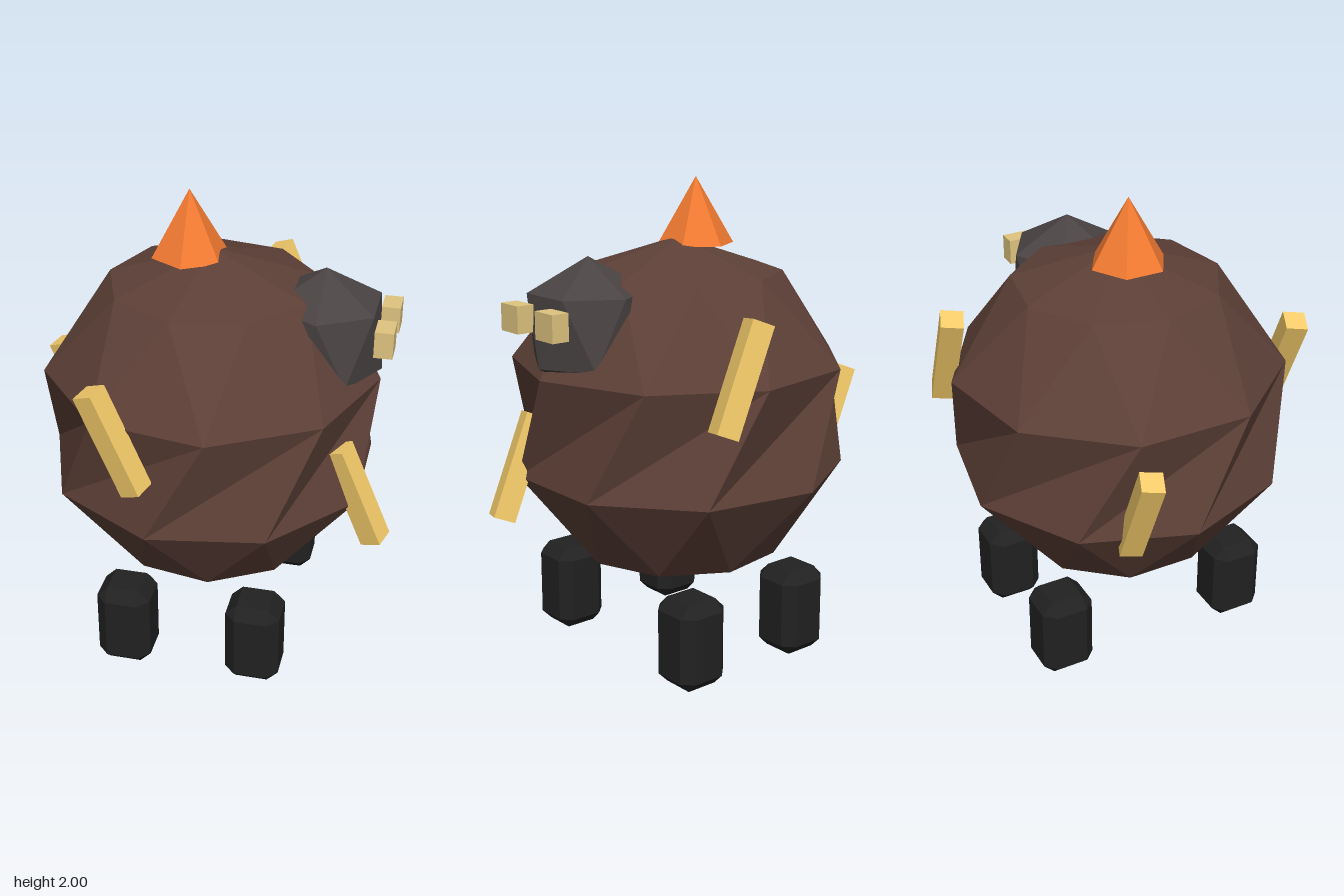
import * as THREE from 'three';
import { ConvexGeometry } from 'three/addons/geometries/ConvexGeometry.js';

const mat = (color) => new THREE.MeshStandardMaterial({ color, flatShading: true });

// Faceted ball: latitude rings, every odd ring turned by half a step
function facetedBall(radius, sides, rows) {
  const point = (row, j) => {
    const polar = (Math.PI * row) / rows;
    const turn = ((j + (row % 2) / 2) * Math.PI * 2) / sides;
    const r = radius * Math.sin(polar);
    return [r * Math.cos(turn), radius * Math.cos(polar), r * Math.sin(turn)];
  };
  const positions = [];
  for (let row = 0; row < rows; row++) {
    for (let j = 0; j < sides; j++) {
      if (row > 0) positions.push(...point(row + 1, j), ...point(row, j - 1), ...point(row, j));
      if (row < rows - 1) positions.push(...point(row + 1, j + 1), ...point(row + 1, j), ...point(row, j));
    }
  }
  const geometry = new THREE.BufferGeometry();
  geometry.setAttribute('position', new THREE.Float32BufferAttribute(positions, 3));
  geometry.computeVertexNormals();
  return geometry;
}

// Box with every edge and corner cut off
function chamferedBox(w, h, d, cut) {
  const points = [];
  for (const sx of [-1, 1]) for (const sy of [-1, 1]) for (const sz of [-1, 1]) {
    for (let axis = 0; axis < 3; axis++) {
      const inset = [0, 1, 2].map((k) => (k === axis ? 0 : cut));
      points.push(new THREE.Vector3(
        sx * (w / 2 - inset[0]), sy * (h / 2 - inset[1]), sz * (d / 2 - inset[2])));
    }
  }
  return new ConvexGeometry(points);
}

export function createModel() {
  const model = new THREE.Group();
  const add = (name, geometry, material, x, y, z) => {
    const mesh = new THREE.Mesh(geometry, material);
    mesh.name = name;
    mesh.position.set(x, y, z);
    model.add(mesh);
    return mesh;
  };

  // Round body and the head on its +x side
  add('body', facetedBall(0.737, 9, 5), mat(0x5d4037), 0, 1.025, 0);
  add('head', facetedBall(0.28, 6, 3), mat(0x4a4343), 0.46, 1.44, 0);

  // Eyes
  const eyeGeometry = new THREE.BoxGeometry(0.075, 0.11, 0.115);
  const eyeMaterial = mat(0xe0c580);
  for (const side of [1, -1]) {
    add(side > 0 ? 'rightEye' : 'leftEye', eyeGeometry, eyeMaterial, 0.718, 1.49, side * 0.118);
  }

  // Cone on top
  add('topCone', new THREE.ConeGeometry(0.16, 0.275, 6), mat(0xf47b32), -0.095, 1.8625, 0);

  // Four slanted spikes, a quarter turn apart
  const spikeGeometry = new THREE.BoxGeometry(0.092, 0.45, 0.092);
  const spikeMaterial = mat(0xf4cb6a);
  [0.84, 1.21, 0.94, 1.31].forEach((y, i) => {
    const turn = 0.35 + (i * Math.PI) / 2;
    const spike = add(`spike${i + 1}`, spikeGeometry, spikeMaterial,
      0.7 * Math.cos(turn), y, 0.7 * Math.sin(turn));
    spike.rotation.set(0, -0.35, 0.4, 'ZYX');
  });

  // Feet
  const footGeometry = chamferedBox(0.23, 0.372, 0.23, 0.047);
  const footMaterial = mat(0x212121);
  for (const x of [-0.28, 0.28]) for (const z of [-0.418, 0.418]) {
    add(`${z > 0 ? 'front' : 'back'}${x > 0 ? 'Left' : 'Right'}Foot`, footGeometry, footMaterial, x, 0.186, z);
  }
  return model;
}
